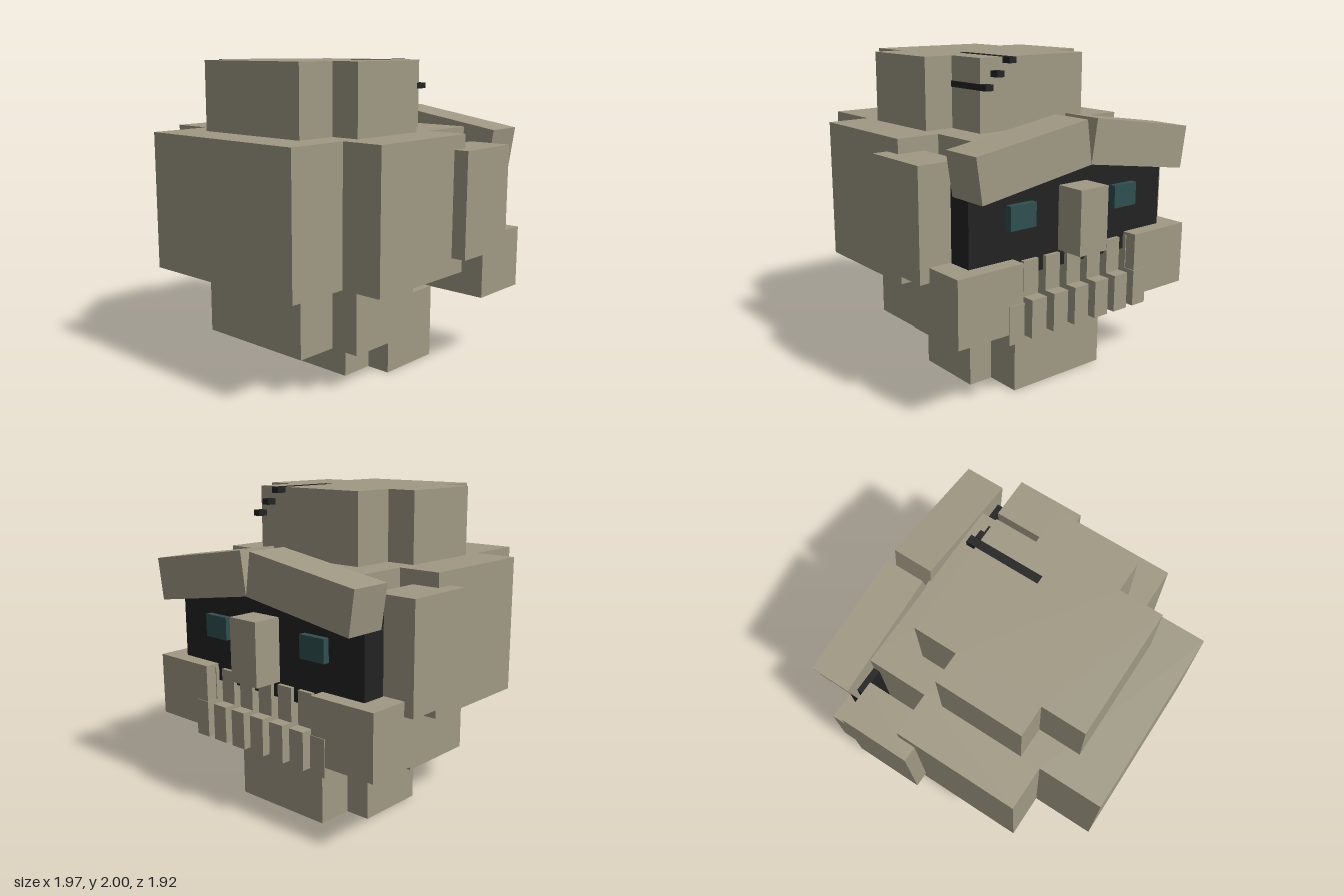
import * as THREE from 'three';

export function createModel() {
  const model = new THREE.Group();
  model.name = 'blockSkull';

  const material = (name, color) => {
    const m = new THREE.MeshStandardMaterial({ color });
    m.name = name;
    return m;
  };
  const bone = material('bone', 0xa09984);
  const black = material('black', 0x222222);
  const teal = material('darkTeal', 0x2f4f4f);

  const add = (name, geometry, mat) => {
    const mesh = new THREE.Mesh(geometry, mat);
    mesh.name = name;
    model.add(mesh);
    return mesh;
  };

  // box given by its limits on each axis
  const box = (name, mat, [x0, x1], [y0, y1], [z0, z1]) => {
    const mesh = add(name, new THREE.BoxGeometry(x1 - x0, y1 - y0, z1 - z0), mat);
    mesh.position.set((x0 + x1) / 2, (y0 + y1) / 2, (z0 + z1) / 2);
    return mesh;
  };

  // upright block with a plus-shaped plan, centred on x = 0 and z = cz
  const plusBlock = (name, wide, wideDepth, narrow, narrowDepth, y0, y1, cz) => {
    const w = wide, d = wideDepth, n = narrow, e = narrowDepth;
    const shape = new THREE.Shape([
      [w, -d], [w, d], [n, d], [n, e], [-n, e], [-n, d],
      [-w, d], [-w, -d], [-n, -d], [-n, -e], [n, -e], [n, -d],
    ].map(([x, y]) => new THREE.Vector2(x, y)));
    const g = new THREE.ExtrudeGeometry(shape, { depth: y1 - y0, bevelEnabled: false });
    g.rotateX(-Math.PI / 2).translate(0, y0, cz);
    return add(name, g, bone);
  };

  // stacked skull blocks
  plusBlock('crown', 0.605, 0.278, 0.41, 0.556, 1.56, 2.0, 0.145);
  plusBlock('cranium', 0.885, 0.405, 0.605, 0.815, 0.69, 1.56, 0.145);
  plusBlock('skullBase', 0.605, 0.278, 0.41, 0.556, 0.25, 0.69, 0.145);
  plusBlock('jaw', 0.52, 0.228, 0.355, 0.458, 0, 0.487, -0.217);

  // face
  box('faceHollow', black, [-0.775, 0.775], [0.78, 1.43], [-0.775, -0.615]);
  box('nose', bone, [-0.11, 0.11], [0.88, 1.275], [-0.963, -0.76]);

  // mirrored parts
  const tilt = 0.151;
  for (const s of [1, -1]) {
    const side = s > 0 ? 'left' : 'right';
    const span = (a, b) => (s > 0 ? [a, b] : [-b, -a]);
    box(side + 'Temple', bone, span(0.70, 0.983), [0.80, 1.472], [-0.607, -0.145]);
    box(side + 'Cheek', bone, span(0.46, 0.92), [0.485, 0.89], [-0.872, -0.445]);
    box(side + 'Eye', teal, span(0.32, 0.51), [1.07, 1.215], [-0.818, -0.77]);

    // brow slopes down towards the outside
    const brow = add(side + 'Brow', new THREE.BoxGeometry(0.804, 0.268, 0.268), bone);
    brow.position.set(s * 0.4175, 1.478, -0.793);
    brow.rotation.z = -s * tilt;
  }

  // teeth in two rows
  for (let i = -3; i <= 3; i++) {
    const x = i * 0.17;
    box('upperTooth', bone, [x - 0.056, x + 0.056], [0.64, 0.87], [-0.8, -0.655]);
    box('lowerTooth', bone, [x - 0.056, x + 0.056], [0.42, 0.655], [-0.877, -0.73]);
  }

  // black bars stepping down the crown
  [[0.19, 0.243, 2.002], [0.28, 0.333, 1.925], [0.362, 0.416, 1.85]].forEach(([x0, x1, top]) =>
    box('crownBar', black, [x0, x1], [top - 0.037, top], [-0.475, 0.012]));

  return model;
}
